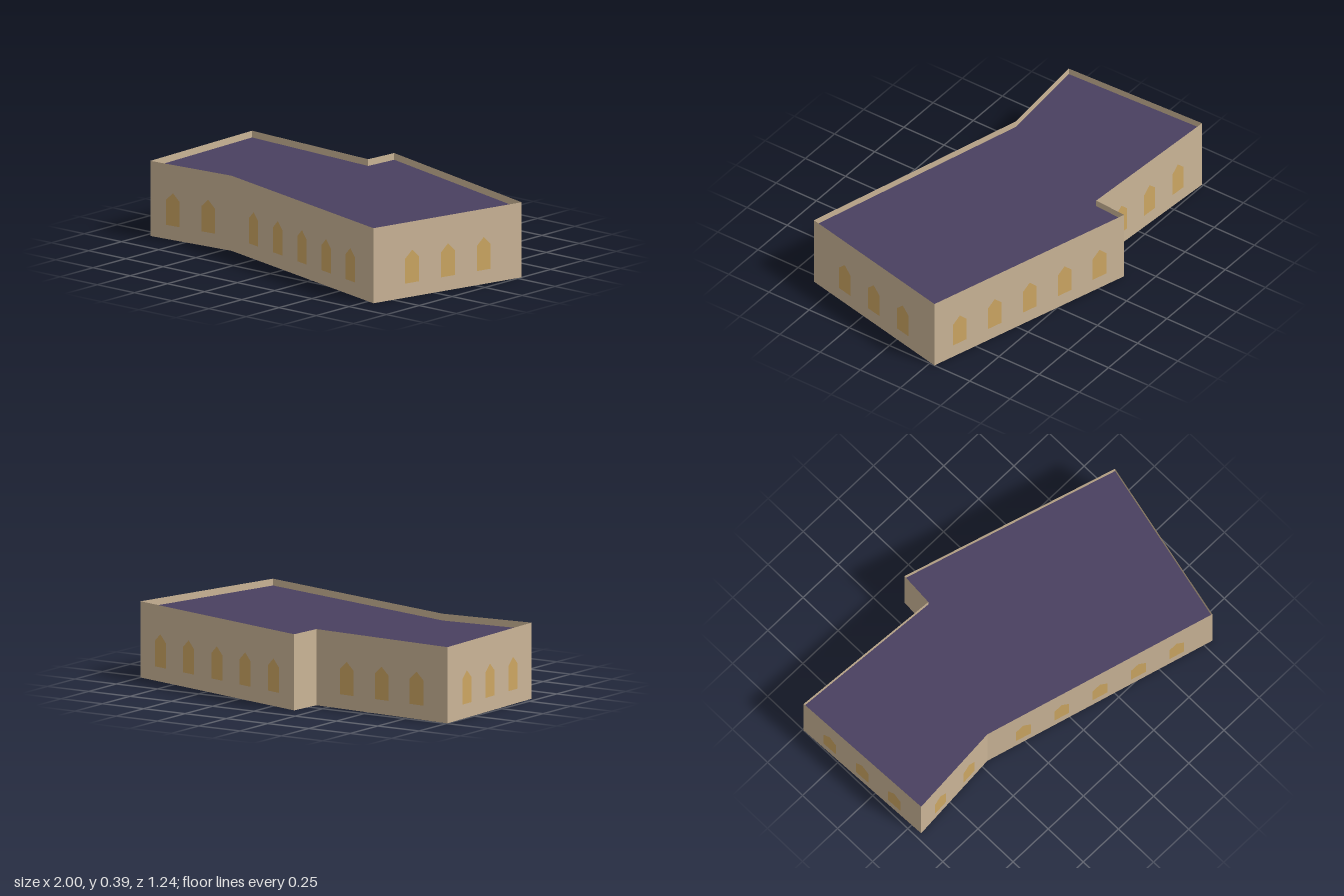
import * as THREE from 'three';

export function createModel() {
  const model = new THREE.Group();
  model.name = 'building';

  const material = (name, color, side = THREE.FrontSide) =>
    Object.assign(new THREE.MeshStandardMaterial({ color, side }), { name });
  const stone = material('sandstone', 0xcab496, THREE.DoubleSide);
  const slate = material('purple slate', 0x4a4060, THREE.DoubleSide);
  const glow = material('amber glass', 0xcca662);

  const wallHeight = 0.39, roofHeight = 0.355, windowSpacing = 0.222;

  // Footprint corners [x, z, windows on the wall that starts here],
  // ordered so that each wall's outside lies on its local +z.
  const corners = [
    [-0.97, 0.315, 2],
    [-0.46, 0.275, 5],
    [0.797, 0.618, 3],
    [1.0, -0.28, 5],
    [-0.157, -0.62, 0],
    [-0.17, -0.437, 3],
    [-1.0, -0.493, 3],
  ];

  // Pointed window outline
  const windowGeometry = new THREE.ShapeGeometry(new THREE.Shape(
    [[-0.043, 0.074], [0.043, 0.074], [0.043, 0.204], [0, 0.244], [-0.043, 0.204]]
      .map(([x, y]) => new THREE.Vector2(x, y))));

  // Thin walls, open below, with evenly spaced windows centred on each
  corners.forEach(([x, z, count], i) => {
    const [x2, z2] = corners[(i + 1) % corners.length];
    const side = new THREE.Group();
    side.name = `side${i + 1}`;
    side.position.set((x + x2) / 2, 0, (z + z2) / 2);
    side.rotation.y = Math.atan2(z - z2, x2 - x);

    const wall = new THREE.Mesh(
      new THREE.PlaneGeometry(Math.hypot(x2 - x, z2 - z), wallHeight), stone);
    wall.name = 'wall';
    wall.position.y = wallHeight / 2;
    side.add(wall);

    for (let k = 0; k < count; k++) {
      const pane = new THREE.Mesh(windowGeometry, glow);
      pane.name = 'window';
      pane.position.set((k - (count - 1) / 2) * windowSpacing, 0, 0.003);
      side.add(pane);
    }
    model.add(side);
  });

  // Flat roof set just below the parapet
  const roofShape = new THREE.Shape(corners.map(([x, z]) => new THREE.Vector2(x, -z)));
  const roof = new THREE.Mesh(new THREE.ShapeGeometry(roofShape).rotateX(-Math.PI / 2), slate);
  roof.name = 'roof';
  roof.position.y = roofHeight;
  model.add(roof);

  return model;
}
